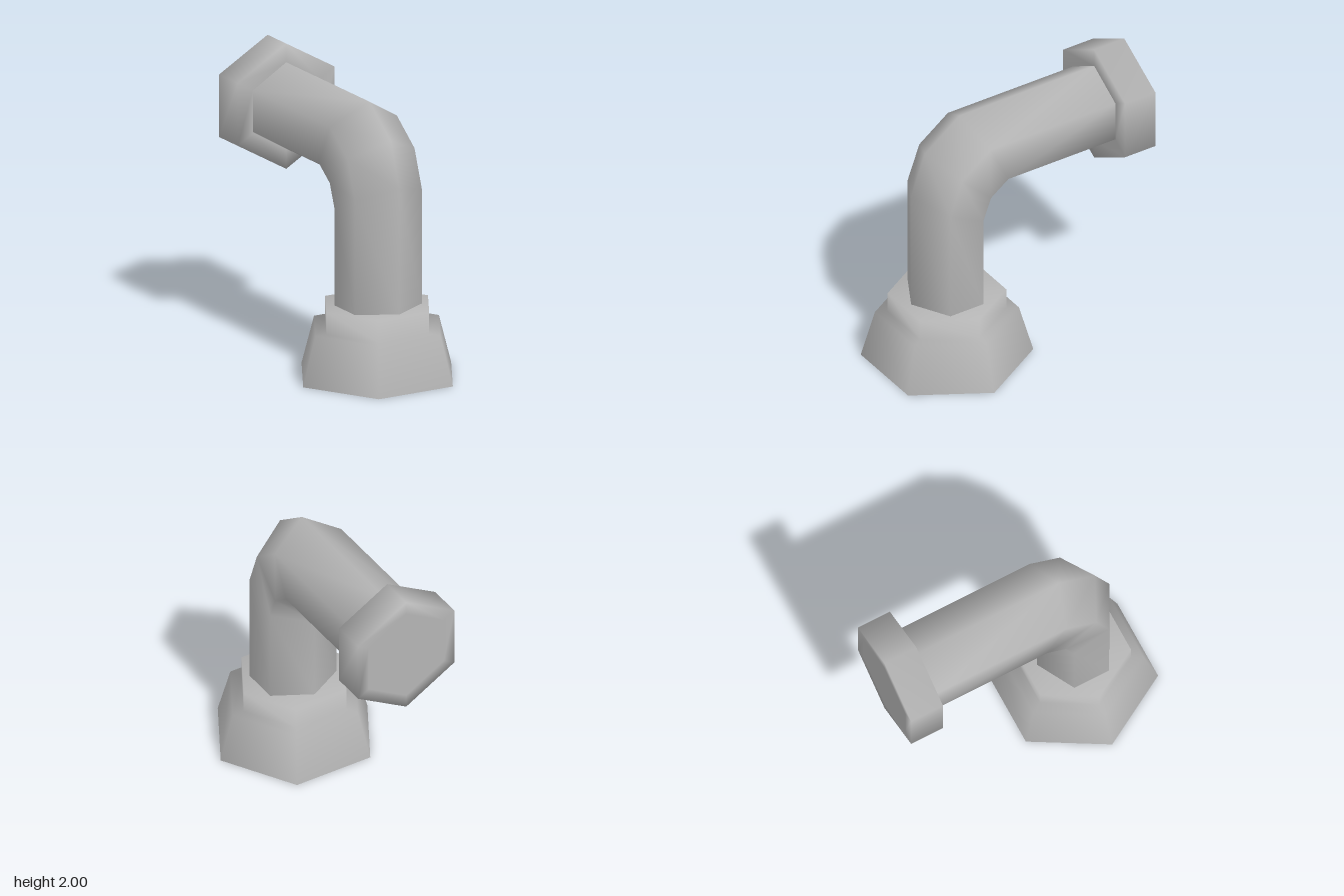
import * as THREE from 'three';

const metal = new THREE.MeshStandardMaterial({ color: 0xb4b4b4, side: THREE.DoubleSide });
metal.name = 'grey metal';

// Six-sided turned part with smooth normals; profile is [radius, height] pairs
function hexTurned(name, profile, phiStart) {
  const points = profile.map(([r, y]) => new THREE.Vector2(r, y));
  const mesh = new THREE.Mesh(new THREE.LatheGeometry(points, 6, phiStart), metal);
  mesh.name = name;
  return mesh;
}

// Bent six-sided pipe, skinned over sheared rings given by outer and inner [z, y] points
function bentPipe() {
  const rings = [
    [[0.74, 0.48], [0.195, 0.48]],
    [[0.74, 1.36], [0.195, 1.09]],
    [[0.63, 1.665], [0.15, 1.205]],
    [[0.355, 1.87], [0.06, 1.27]],
    [[-0.72, 1.87], [-0.72, 1.27]],
  ];
  // x offset and fraction of the way from the outer to the inner point
  const section = [[0, 0], [0.26, 0.26], [0.26, 0.74], [0, 1], [-0.26, 0.74], [-0.26, 0.26]];
  const positions = [], index = [];
  rings.forEach(([outer, inner], j) => {
    section.forEach(([x, t], i) => {
      positions.push(x, THREE.MathUtils.lerp(outer[1], inner[1], t), THREE.MathUtils.lerp(outer[0], inner[0], t));
      if (j === rings.length - 1) return;
      const a = j * 6 + i, b = j * 6 + (i + 1) % 6;
      index.push(a, b, a + 6, b, b + 6, a + 6);
    });
  });
  const geometry = new THREE.BufferGeometry();
  geometry.setAttribute('position', new THREE.Float32BufferAttribute(positions, 3));
  geometry.setIndex(index);
  geometry.computeVertexNormals();
  const mesh = new THREE.Mesh(geometry, metal);
  mesh.name = 'bentPipe';
  return mesh;
}

export function createModel() {
  const group = new THREE.Group();
  group.name = 'pipeElbow';

  // Flared base, open underneath, stepping in to the collar
  const base = hexTurned('flaredBaseAndCollar',
    [[0.575, 0], [0.48, 0.34], [0.395, 0.34], [0.395, 0.49], [0, 0.49]], Math.PI / 6);
  base.position.z = 0.455;

  // Capped end flange, lying along -z with a corner at the top
  const flange = hexTurned('endFlange',
    [[0, 0], [0.3, 0], [0.435, 0], [0.435, 0.24], [0.34, 0.24], [0, 0.24]], 0);
  flange.rotation.x = -Math.PI / 2;
  flange.position.set(0, 1.565, -0.715);

  group.add(base, bentPipe(), flange);
  return group;
}
